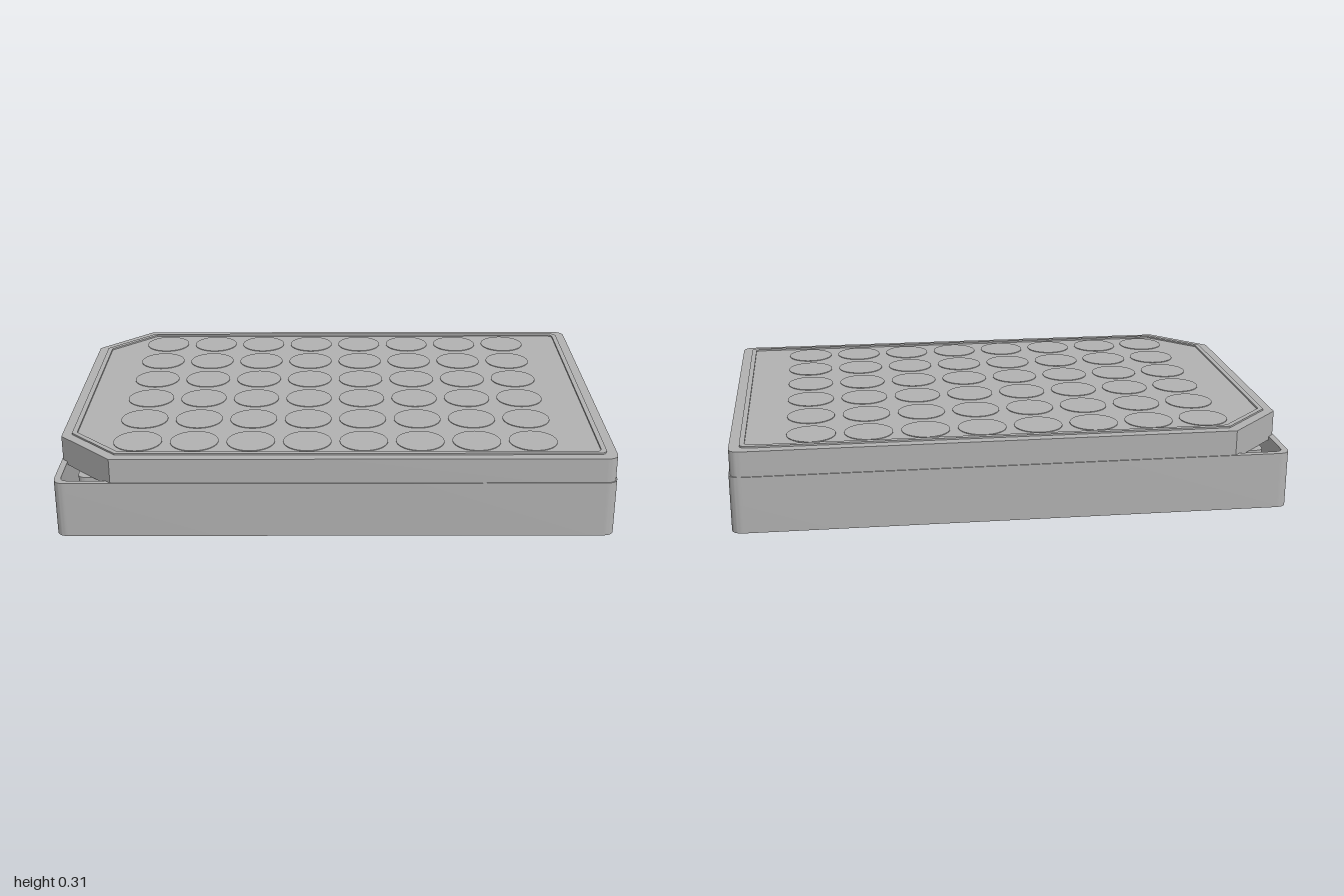
import * as THREE from 'three';
import { toCreasedNormals } from 'three/addons/utils/BufferGeometryUtils.js';

// Rectangle of half sizes a, b with rounded corners; cut > 0 bevels the two -x corners.
function trace(path, a, b, r, cut) {
  path.moveTo(a, -b + r);
  path.lineTo(a, b - r);
  path.quadraticCurveTo(a, b, a - r, b);
  if (cut > 0) {
    path.lineTo(-a + cut, b);
    path.lineTo(-a, b - cut);
    path.lineTo(-a, -b + cut);
    path.lineTo(-a + cut, -b);
  } else {
    path.lineTo(-a + r, b);
    path.quadraticCurveTo(-a, b, -a, b - r);
    path.lineTo(-a, -b + r);
    path.quadraticCurveTo(-a, -b, -a + r, -b);
  }
  path.lineTo(a - r, -b);
  path.quadraticCurveTo(a, -b, a, -b + r);
  return path;
}

// Upright prism from y0 to y1, hollow when an inner outline is given
function prism(outer, inner, y0, y1) {
  const shape = trace(new THREE.Shape(), ...outer);
  if (inner) shape.holes.push(trace(new THREE.Path(), ...inner));
  const geo = new THREE.ExtrudeGeometry(shape, { depth: y1 - y0, bevelEnabled: false, curveSegments: 10 });
  geo.rotateX(-Math.PI / 2);
  geo.translate(0, y0, 0);
  return toCreasedNormals(geo, 0.6);
}

export function createModel() {
  const group = new THREE.Group();
  const grey = new THREE.MeshStandardMaterial({ color: 0xb2b2b2 });
  grey.name = 'grey plastic';

  function add(name, geo) {
    const mesh = new THREE.Mesh(geo, grey);
    mesh.name = name;
    group.add(mesh);
    return mesh;
  }

  // Outer skirt, open at top and bottom
  add('skirt', prism([1, 0.667, 0.045, 0], [0.977, 0.644, 0.03, 0], 0, 0.208));

  // Inner well block with its floor raised off the ground
  add('wellBlock', prism([0.925, 0.59, 0.035, 0], null, 0.04, 0.195));

  // Upper body with two bevelled corners
  add('upperBody', prism([0.996, 0.663, 0.042, 0.2], null, 0.195, 0.3));

  // Raised rim around the top
  add('topRim', prism([0.96, 0.627, 0.03, 0.18], [0.942, 0.609, 0.02, 0.17], 0.299, 0.306));

  // Eight by six grid of round wells
  const pitch = 0.2035;
  const wells = new THREE.Group();
  wells.name = 'wells';
  const wellGeo = new THREE.CylinderGeometry(0.087, 0.087, 0.004, 40);
  for (let i = 0; i < 8; i++) {
    for (let j = 0; j < 6; j++) {
      const well = new THREE.Mesh(wellGeo, grey);
      well.name = 'well';
      well.position.set((i - 3.5) * pitch, 0.3005, (j - 2.5) * pitch);
      wells.add(well);
    }
  }
  group.add(wells);

  return group;
}
